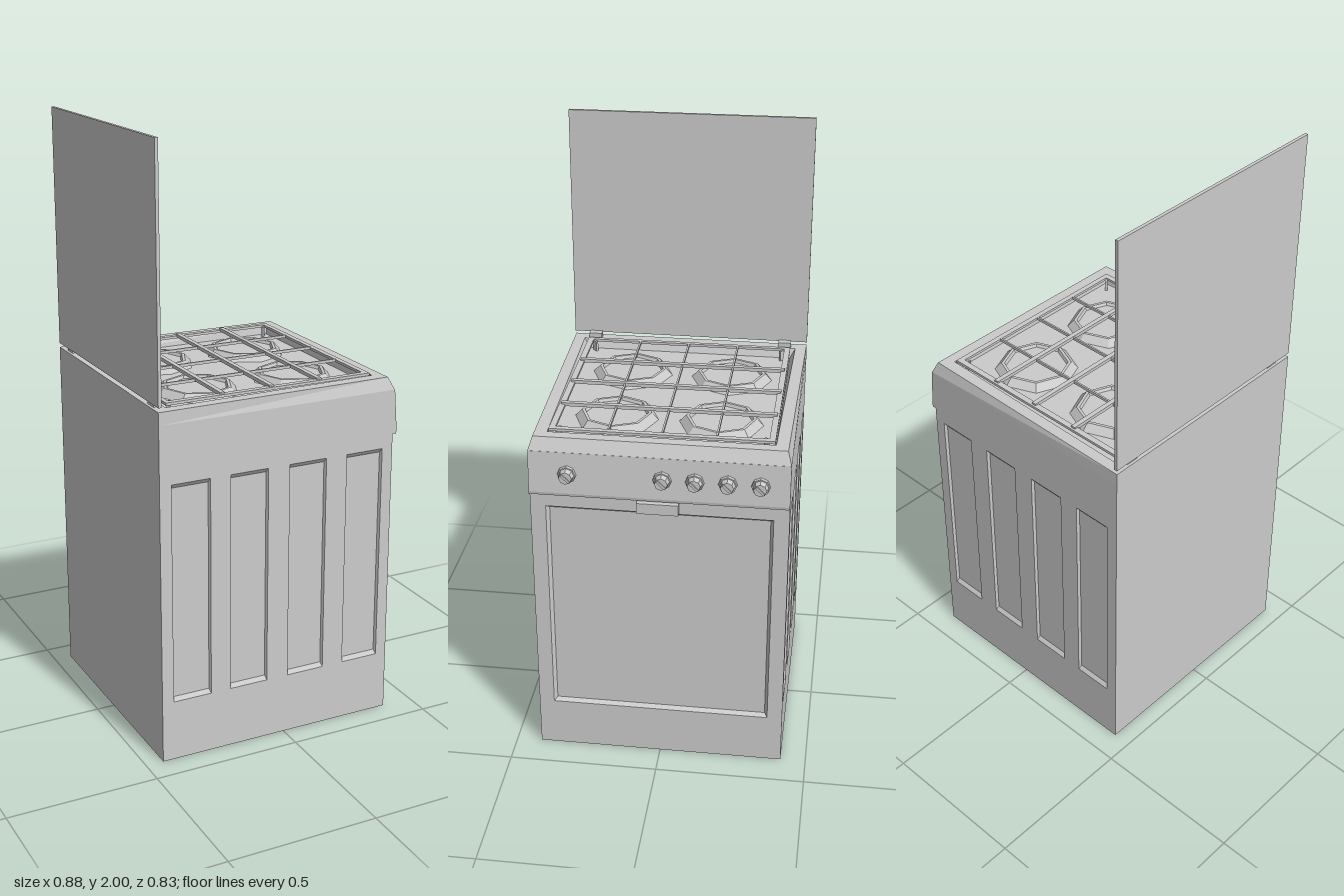
import * as THREE from 'three';

const mat = new THREE.MeshStandardMaterial({ color: 0xcccccc, flatShading: true, side: THREE.DoubleSide });
const BACK = -0.44, FRONT = 0.393, HALF = 0.415, BODY_TOP = 1.14;

function mesh(name, geo, parent) {
  const m = new THREE.Mesh(geo, mat);
  m.name = name;
  parent.add(m);
  return m;
}

// Box given by its limits on each axis
function block(name, parent, x0, x1, y0, y1, z0, z1) {
  const m = mesh(name, new THREE.BoxGeometry(x1 - x0, y1 - y0, z1 - z0), parent);
  m.position.set((x0 + x1) / 2, (y0 + y1) / 2, (z0 + z1) / 2);
  return m;
}

// Skin through a list of loops, closed by a fan on the last one
function loft(loops) {
  const pos = [];
  const tri = (...pts) => pts.forEach(p => pos.push(...p));
  for (let k = 0; k + 1 < loops.length; k++) {
    const a = loops[k], b = loops[k + 1];
    a.forEach((_, i) => {
      const j = (i + 1) % a.length;
      tri(a[i], a[j], b[j]);
      tri(a[i], b[j], b[i]);
    });
  }
  const end = loops[loops.length - 1];
  for (let i = 1; i + 1 < end.length; i++) tri(end[0], end[i], end[i + 1]);
  const g = new THREE.BufferGeometry();
  g.setAttribute('position', new THREE.Float32BufferAttribute(pos, 3));
  g.computeVertexNormals();
  return g;
}

const rectXY = (x0, x1, y0, y1, z) => [[x0, y0, z], [x1, y0, z], [x1, y1, z], [x0, y1, z]];
const toShape = (pts, Type) => new Type(pts.map(p => new THREE.Vector2(p[0], p[1])));

// Flat sheet facing +z with bevelled sunken panels
function wall(name, parent, x0, x1, y0, y1, panels = [], bx = 0, by = 0, depth = 0) {
  const g = new THREE.Group();
  g.name = name;
  parent.add(g);
  const shape = toShape(rectXY(x0, x1, y0, y1, 0), THREE.Shape);
  for (const [a, b, c, d] of panels) {
    const rim = rectXY(a, b, c, d, 0);
    shape.holes.push(toShape(rim, THREE.Path));
    mesh('sunkenPanel', loft([rim, rectXY(a + bx, b - bx, c + by, d - by, -depth)]), g);
  }
  mesh('sheet', new THREE.ShapeGeometry(shape), g);
  return g;
}

function buildBody(root) {
  const body = new THREE.Group();
  body.name = 'body';
  root.add(body);

  // Side walls with four pressed panels each
  const spans = [-0.4, -0.197, 0.013, 0.222].map(x => [x, x + 0.133, 0.205, 0.945]);
  wall('leftWall', body, BACK, FRONT, 0, BODY_TOP, spans, 0.004, 0.014, 0.01).position.z = HALF;
  const flipped = spans.map(([a, b, c, d]) => [-b, -a, c, d]);
  const other = wall('rightWall', body, -FRONT, -BACK, 0, BODY_TOP, flipped, 0.004, 0.014, 0.01);
  other.rotation.y = Math.PI;
  other.position.z = -HALF;

  // Front with the oven door, plain back and base
  const front = wall('ovenFront', body, -HALF, HALF, 0, BODY_TOP, [[-0.365, 0.365, 0.172, 0.942]], 0.01, 0.01, 0.014);
  front.rotation.y = Math.PI / 2;
  front.position.x = FRONT;
  const back = wall('backWall', body, -HALF, HALF, 0, BODY_TOP);
  back.rotation.y = -Math.PI / 2;
  back.position.x = BACK;
  wall('base', body, BACK, FRONT, -HALF, HALF).rotation.x = Math.PI / 2;
}

function buildCooktop(root) {
  const top = new THREE.Group();
  top.name = 'cooktop';
  root.add(top);

  // Bevelled rim and sunken tray; depth in z may differ at back and front
  const loop = (x0, zb, x1, zf, y) => [[x0, y, zb], [x1, y, zf], [x1, y, -zf], [x0, y, -zb]];
  mesh('cooktopTray', loft([
    loop(BACK, HALF, 0.396, HALF, BODY_TOP),
    loop(BACK, 0.414, 0.376, 0.402, 1.182),
    loop(-0.4, 0.376, 0.34, 0.362, 1.182),
    loop(-0.388, 0.358, 0.335, 0.356, 1.15),
  ]), top);

  // Raised octagonal burners with a shallow dish
  const octagon = (r, y) => Array.from({ length: 8 }, (_, i) => {
    const a = i * Math.PI / 4;
    return [r * Math.cos(a), y, -r * Math.sin(a)];
  });
  const burner = loft([octagon(0.137, 1.15), octagon(0.115, 1.174), octagon(0.105, 1.174), octagon(0.1, 1.164)]);
  for (const x of [-0.195, 0.15]) for (const z of [-0.172, 0.17]) mesh('burner', burner, top).position.set(x, 0, z);

  // Pan support: flat frame, cross bars and corner feet
  const frame = toShape(rectXY(-0.39, 0.333, -0.359, 0.359, 0), THREE.Shape);
  frame.holes.push(toShape(rectXY(-0.375, 0.315, -0.339, 0.339, 0), THREE.Path));
  const ring = mesh('grateFrame', new THREE.ExtrudeGeometry(frame, { depth: 0.009, bevelEnabled: false }), top);
  ring.rotation.x = -Math.PI / 2;
  ring.position.y = 1.181;
  for (const z of [-0.175, -0.002, 0.17]) block('grateBarLengthwise', top, -0.376, 0.316, 1.182, 1.192, z - 0.003, z + 0.003);
  for (const x of [-0.195, -0.022, 0.15]) block('grateBarCrosswise', top, x - 0.008, x + 0.008, 1.184, 1.196, -0.352, 0.352);
  for (const x of [-0.368, 0.308]) for (const s of [-1, 1]) {
    const foot = mesh('grateFoot', new THREE.BoxGeometry(0.018, 0.036, 0.008), top);
    foot.position.set(x, 1.168, s * 0.331);
    foot.rotation.y = (x < 0 ? 1 : -1) * s * Math.PI / 4;
  }
}

function buildControls(root) {
  const controls = new THREE.Group();
  controls.name = 'controls';
  root.add(controls);

  // Slightly leaning control panel
  const profile = toShape([[0.385, 0.99], [0.406, 0.99], [0.408, 1.0], [0.397, 1.14], [0.385, 1.14]], THREE.Shape);
  mesh('controlPanel', new THREE.ExtrudeGeometry(profile, { depth: 2 * HALF, bevelEnabled: false }), controls).position.z = -HALF;

  // Knobs: collar, tapered grip and pointer ridge
  for (const z of [0.291, -0.012, -0.115, -0.219, -0.322]) {
    const knob = new THREE.Group();
    knob.name = 'knob';
    knob.position.set(0.4, 1.066, z);
    controls.add(knob);
    const disc = (name, r0, r1, x0, x1) => {
      const g = new THREE.CylinderGeometry(r1, r0, x1 - x0, 8).rotateZ(-Math.PI / 2);
      mesh(name, g, knob).position.x = (x0 + x1) / 2;
    };
    disc('knobCollar', 0.031, 0.029, 0, 0.01);
    disc('knobGrip', 0.025, 0.021, 0.01, 0.031);
    const ridge = mesh('knobPointer', new THREE.BoxGeometry(0.008, 0.036, 0.008), knob);
    ridge.position.x = 0.031;
    ridge.rotation.x = Math.PI / 4;
  }

  block('doorHandle', controls, 0.39, 0.416, 0.948, 0.985, -0.065, 0.069);
}

export function createModel() {
  const root = new THREE.Group();
  root.name = 'gasCooker';
  buildBody(root);
  buildCooktop(root);
  buildControls(root);

  // Upright lid on two hinges
  block('lid', root, -0.44, -0.429, 1.196, 2, -HALF, HALF);
  for (const s of [-1, 1]) block('lidHinge', root, -0.431, -0.404, 1.178, 1.2, s * 0.3375 - 0.022, s * 0.3375 + 0.022);
  return root;
}
